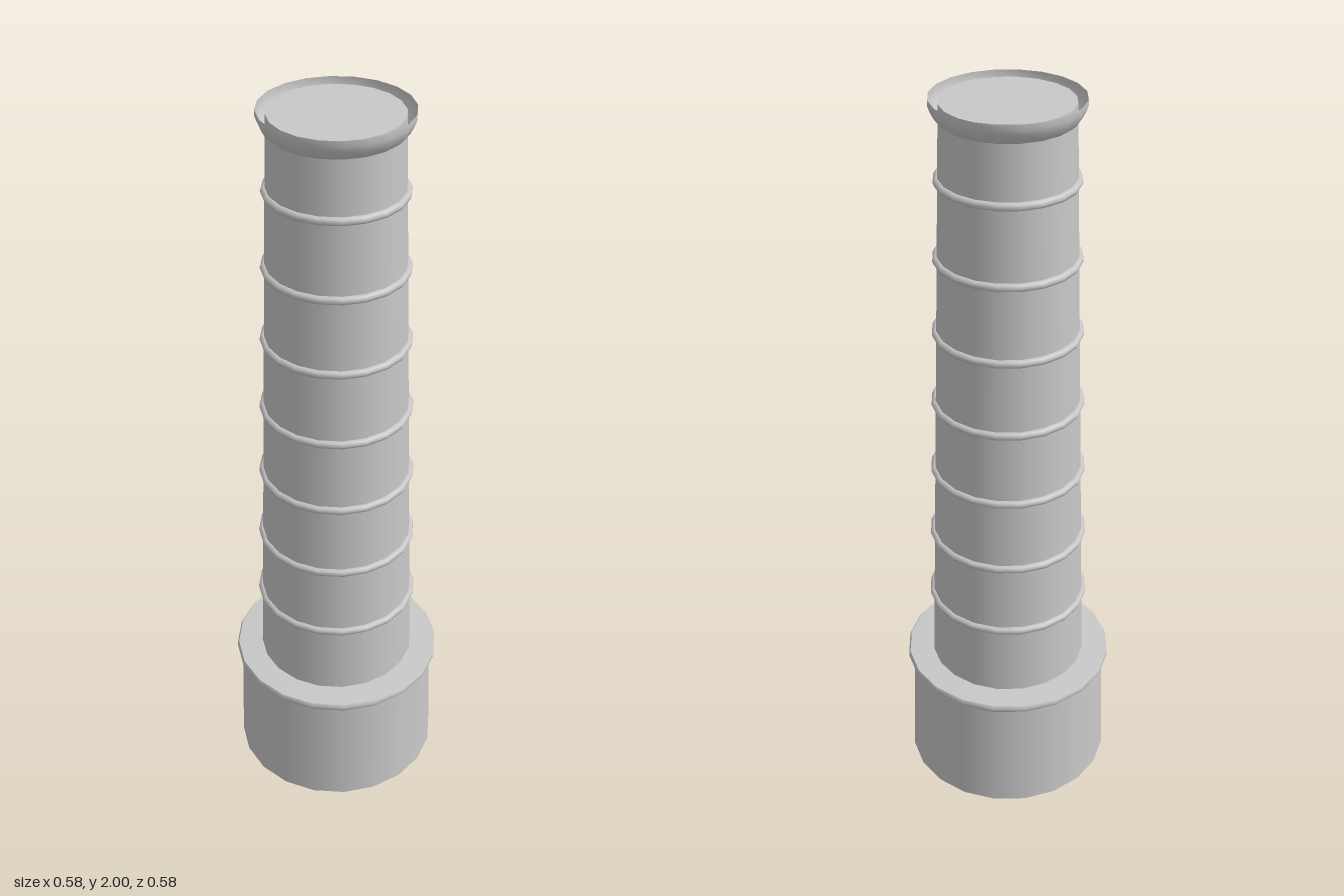
import * as THREE from 'three';

const SIDES = 20;
const columnBase = { y: 0.35, r: 0.217 };
const columnTop = { y: 1.99, r: 0.166 };

export function createModel() {
  const chimney = new THREE.Group();
  chimney.name = 'chimney';
  const stone = new THREE.MeshStandardMaterial({ color: 0xc8c8c8, side: THREE.DoubleSide });
  stone.name = 'light grey stone';

  const add = (name, geometry) => {
    const mesh = new THREE.Mesh(geometry, stone);
    mesh.name = name;
    chimney.add(mesh);
    return mesh;
  };
  // Open conical wall between two heights
  const wall = (name, y0, r0, y1, r1) =>
    add(name, new THREE.CylinderGeometry(r1, r0, y1 - y0, SIDES, 1, true).translate(0, (y0 + y1) / 2, 0));
  const lathe = (name, points) =>
    add(name, new THREE.LatheGeometry(points.map(([r, y]) => new THREE.Vector2(r, y)), SIDES));

  // Plinth, hollow and open underneath, with a projecting lip and a ledge
  wall('plinthWall', 0, 0.285, 0.338, 0.274);
  lathe('plinthLip', [[0.274, 0.336], [0.286, 0.336], [0.29, 0.341], [0.29, 0.351], [0.286, 0.357]]);
  lathe('plinthLedge', [[0.286, 0.357], [columnBase.r - 0.01, 0.36]]);

  // Tapering column with a flat cap
  wall('column', columnBase.y, columnBase.r, columnTop.y, columnTop.r);
  add('columnCap', new THREE.CircleGeometry(columnTop.r, SIDES).rotateX(-Math.PI / 2).translate(0, columnTop.y, 0));

  // Seven thin bands that follow the taper
  for (let i = 0; i < 7; i++) {
    const y = 0.565 + i * 0.205;
    const t = (y - columnBase.y) / (columnTop.y - columnBase.y);
    const r = THREE.MathUtils.lerp(columnBase.r, columnTop.r, t);
    add('band' + (i + 1), new THREE.TorusGeometry(r, 0.011, 8, SIDES).rotateX(Math.PI / 2).translate(0, y, 0));
  }

  // Flared open rim around the cap
  lathe('rimFlare', [[0.166, 1.945], [0.176, 1.954], [0.185, 1.971], [0.19, 1.985], [0.19, 2]]);
  return chimney;
}
